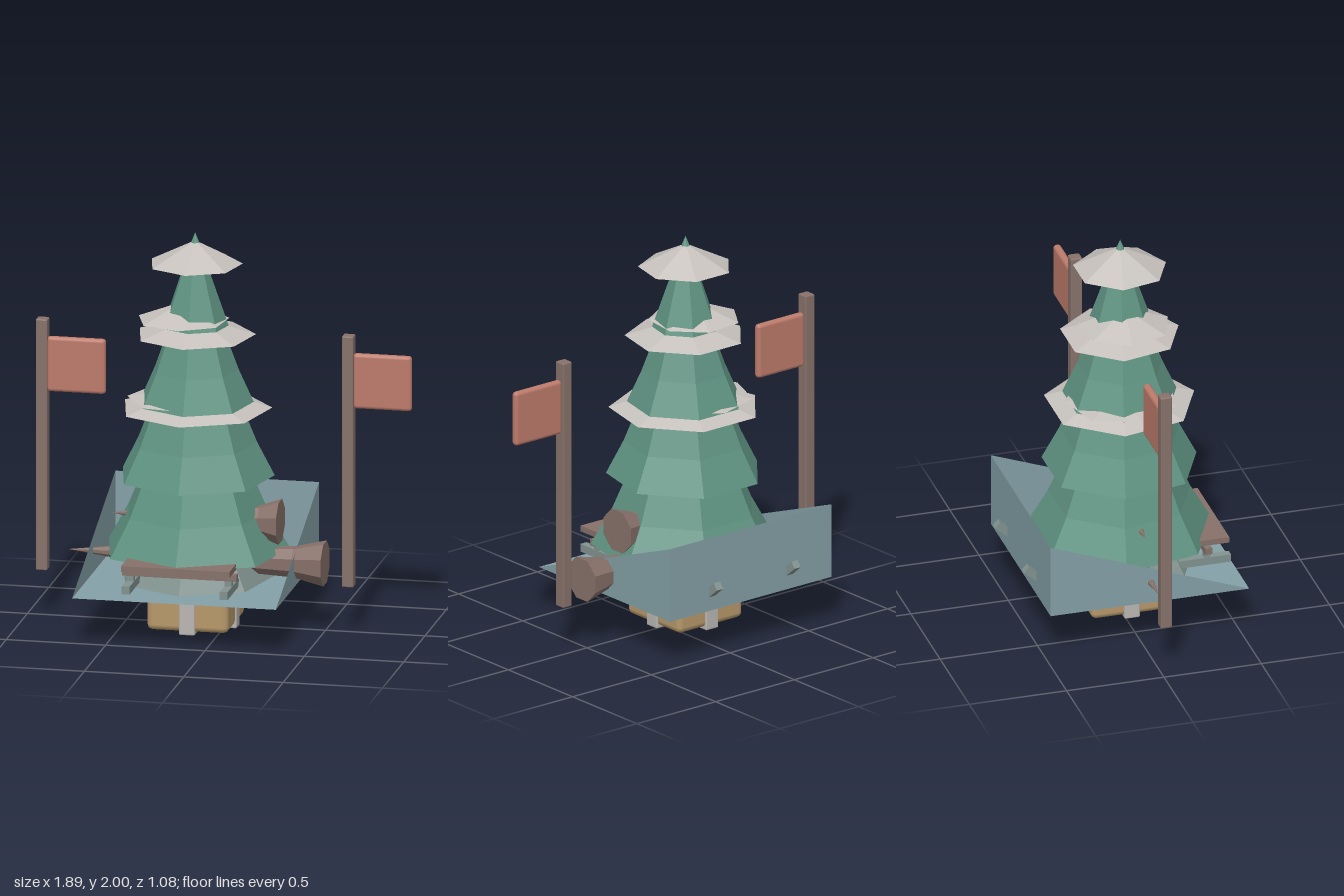
import * as THREE from 'three';
import { RoundedBoxGeometry } from 'three/addons/geometries/RoundedBoxGeometry.js';

const mat = (name, color, opts = {}) => {
  const m = new THREE.MeshStandardMaterial({ color, ...opts });
  m.name = name;
  return m;
};

export function createModel() {
  const group = new THREE.Group();
  const flat = { flatShading: true };
  const green = mat('pine green', 0x5f9382, flat);
  const snow = mat('snow', 0xc6c1bc, { ...flat, side: THREE.DoubleSide });
  const wood = mat('wood', 0x87716a, flat);
  const flagRed = mat('flag red', 0xbd7b6b);
  const tan = mat('gift tan', 0xb6986a);
  const ribbonGrey = mat('ribbon grey', 0xb9b6b2);
  const stone = mat('stone grey', 0x82938f, flat);
  const rampBlue = mat('ramp blue', 0x83a0a6, { ...flat, side: THREE.DoubleSide });

  const CX = -0.15, CZ = 0.03;

  function add(name, geometry, material, x = 0, y = 0, z = 0) {
    const mesh = new THREE.Mesh(geometry, material);
    mesh.name = name;
    mesh.position.set(x, y, z);
    group.add(mesh);
    return mesh;
  }
  const box = (name, m, [x0, x1], [y0, y1], [z0, z1], r = 0) =>
    add(name, r ? new RoundedBoxGeometry(x1 - x0, y1 - y0, z1 - z0, 2, r)
      : new THREE.BoxGeometry(x1 - x0, y1 - y0, z1 - z0),
    m, (x0 + x1) / 2, (y0 + y1) / 2, (z0 + z1) / 2);
  const lathe = (profile, sides, start = 0) =>
    new THREE.LatheGeometry(profile.map(([r, y]) => new THREE.Vector2(r, y)), sides, start);

  // Tree tiers: seven-sided, each closed underneath
  const tiers = [
    [[0, 0.39], [0.467, 0.39], [0.36, 0.58], [0.275, 0.78], [0, 0.78]],
    [[0, 0.76], [0.392, 0.76], [0.305, 0.93], [0.225, 1.13], [0, 1.13]],
    [[0, 1.11], [0.3, 1.11], [0.215, 1.3], [0.135, 1.52], [0, 1.52]],
    [[0, 1.525], [0.165, 1.525], [0.105, 1.7], [0.05, 1.86], [0, 1.86]],
    [[0, 1.93], [0.025, 1.94], [0, 2.0]],
  ];
  tiers.forEach((p, i) => add('treeTier' + (i + 1), lathe(p, 7), green, CX, 0, CZ));

  // Snow skirts: radius, rim height, apex height, centre, turn
  const skirts = [
    [0.38, 1.105, 1.23, CX, CZ, 0],
    [0.3, 1.48, 1.575, CX, CZ, 0],
    [0.235, 1.84, 1.96, CX, CZ, 0],
    [0.285, 1.15, 1.2, -0.205, 0.02, 0.3],
    [0.23, 1.555, 1.645, -0.21, 0.035, 0.1],
  ];
  skirts.forEach(([r, y0, y1, x, z, turn], i) =>
    add('snowSkirt' + (i + 1), lathe([[0, y0], [r, y0], [0, y1]], 7, turn), snow, x, 0, z));
  add('snowCapLedge', lathe([[0, 1.83], [0.12, 1.83], [0.12, 1.85]], 7), snow, CX, 0, CZ);

  // Stone mound under the tree
  add('mound', lathe([[0, 0.245], [0.385, 0.245], [0.29, 0.4], [0, 0.4]], 7), stone, CX, 0, CZ);

  // Two flared logs running through the tree along x
  for (const [x0, x1, y] of [[-0.79, 0.505, 0.35], [-0.565, 0.28, 0.55]]) {
    const L = x1 - x0;
    const profile = [[0, 0], [0.045, 0.27 * L], [0.06, 0.6 * L], [0.078, 0.88 * L], [0.115, L], [0, L]];
    add('flaredLog', lathe(profile, 8, Math.PI / 8), wood, x0, y, 0.035).rotation.z = -Math.PI / 2;
  }

  // Open-topped ramp tray: floor, back wall and two triangular sides
  const [X0, X1, Y0, Y1, Z0, Z1] = [-0.66, 0.365, 0.24, 0.62, -0.48, 0.54];
  add('rampFloor', new THREE.PlaneGeometry(X1 - X0, Z1 - Z0), rampBlue,
    (X0 + X1) / 2, Y0, (Z0 + Z1) / 2).rotation.x = -Math.PI / 2;
  add('rampBack', new THREE.PlaneGeometry(X1 - X0, Y1 - Y0), rampBlue,
    (X0 + X1) / 2, (Y0 + Y1) / 2, Z0);
  const side = new THREE.Shape([[-Z1, Y0], [-Z0, Y0], [-Z0, Y1]].map(p => new THREE.Vector2(...p)));
  for (const x of [X0, X1])
    add('rampSide', new THREE.ShapeGeometry(side), rampBlue, x).rotation.y = Math.PI / 2;

  // Sled deck, crosspieces, runners and uprights
  const deck = new THREE.Shape([
    [-0.42, -0.51], [0.125, -0.51], [0.125, 0.18], [-0.1, 0.4], [-0.16, 0.46], [-0.42, 0.46],
  ].map(p => new THREE.Vector2(...p)));
  add('sledDeck', new THREE.ExtrudeGeometry(deck, { depth: 0.03, bevelEnabled: false }),
    wood, 0, 0.38, 0).rotation.x = -Math.PI / 2;
  for (const z of [0.4, -0.345])
    box('sledCrosspiece', wood, [-0.435, 0.14], [0.337, 0.37], [z - 0.018, z + 0.018]);
  for (const x of [-0.395, 0.098]) {
    box('sledRunner', stone, [x - 0.02, x + 0.02], [0.27, 0.31], [-0.45, 0.52]);
    box('sledRunnerTip', stone, [x - 0.02, x + 0.02], [0.32, 0.36], [-0.545, -0.42]).rotation.x = 0.7;
    for (const z of [0.4, -0.345])
      box('sledUpright', stone, [x - 0.018, x + 0.018], [0.3, 0.38], [z - 0.015, z + 0.015]);
  }

  // Gift box with crossing ribbons
  const gx = -0.147, h = 0.205, w = 0.04, e = 0.214;
  box('giftBox', tan, [gx - h, gx + h], [0.014, 0.37], [CZ - h, CZ + h], 0.03);
  box('giftRibbon', ribbonGrey, [gx - w, gx + w], [0, 0.375], [CZ - e, CZ + e], 0.008);
  box('giftRibbon', ribbonGrey, [gx - e, gx + e], [0.001, 0.374], [CZ - w, CZ + w], 0.008);

  // Flag on a pole, one at each side
  for (const x of [-0.9175, 0.6225]) {
    box('flagPole', wood, [x - 0.029, x + 0.029], [0.24, 1.52], [0, 0.06], 0.007);
    box('flag', flagRed, [x + 0.024, x + 0.319], [1.15, 1.43], [0.01, 0.05], 0.018);
  }
  return group;
}
